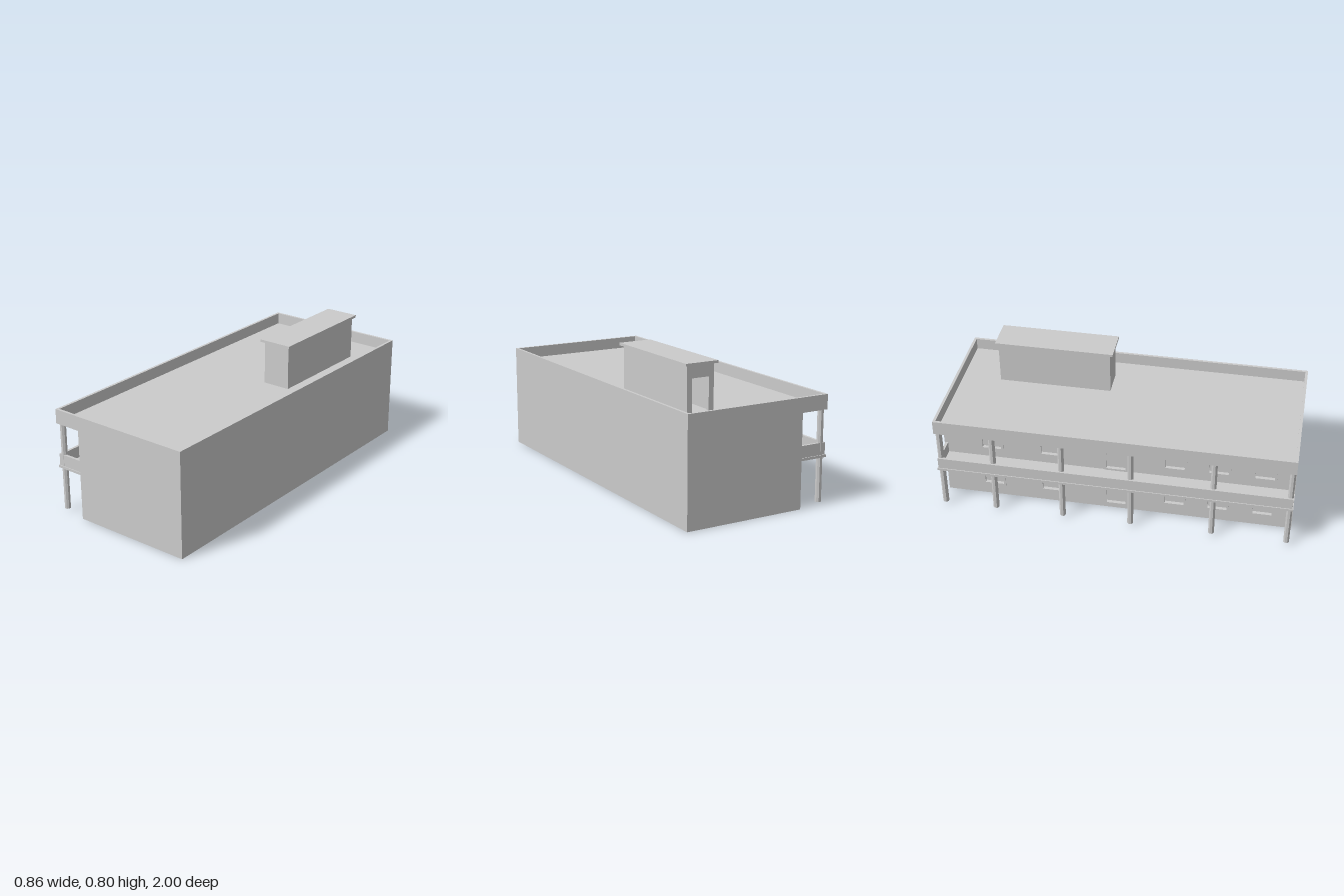
import * as THREE from 'three';

const grey = new THREE.MeshStandardMaterial({ color: 0xcccccc, flatShading: true });

export function createModel() {
  const root = new THREE.Group();

  const add = (name, geometry, parent = root) => {
    const mesh = new THREE.Mesh(geometry, grey);
    mesh.name = name;
    parent.add(mesh);
    return mesh;
  };
  // Box given by its limits along each axis
  const box = (name, x0, x1, y0, y1, z0, z1, parent) => {
    const mesh = add(name, new THREE.BoxGeometry(x1 - x0, y1 - y0, z1 - z0), parent);
    mesh.position.set((x0 + x1) / 2, (y0 + y1) / 2, (z0 + z1) / 2);
    return mesh;
  };
  const rect = (Type, u0, u1, v0, v1) => {
    const path = new Type();
    path.moveTo(u0, v0).lineTo(u1, v0).lineTo(u1, v1).lineTo(u0, v1).closePath();
    return path;
  };
  // Upright panel lying in the z-y plane, its outer face at x = xOut towards -x
  const sidePanel = (name, shape, xOut, thickness, parent) => {
    const geometry = new THREE.ExtrudeGeometry(shape, { depth: thickness, bevelEnabled: false });
    geometry.rotateY(-Math.PI / 2);
    add(name, geometry, parent).position.x = xOut + thickness;
  };
  const group = (name) => {
    const g = new THREE.Group();
    g.name = name;
    root.add(g);
    return g;
  };

  const wallX = -0.27, out = 0.43, t = 0.03;
  const roofY = 0.535, top = 0.602;

  // Main block: floors and the three closed walls
  const body = group('mainBlock');
  box('groundFloor', wallX + t, out - t, 0, 0.018, -1 + t, 1 - t, body);
  box('upperFloor', wallX + t, out - t, 0.262, 0.276, -1 + t, 1 - t, body);
  box('longWall', out - t, out, 0, 0.52, -1, 1, body);
  box('frontWall', wallX, out - t, 0, 0.52, 1 - t, 1, body);
  box('backWall', wallX, out - t, 0, 0.52, -1, -1 + t, body);

  // Openings of the veranda wall as [z0, z1, y0, y1]
  const openings = [[-0.065, 0.055, 0.03, 0.222], [-0.065, 0.055, 0.282, 0.48]];
  for (const z of [-0.72, -0.38, 0.33, 0.575, 0.83]) {
    openings.push([z - 0.06, z + 0.06, 0.075, 0.222], [z - 0.06, z + 0.06, 0.332, 0.48]);
  }
  const wall = rect(THREE.Shape, -1 + t, 1 - t, 0, 0.52);
  for (const o of openings) wall.holes.push(rect(THREE.Path, ...o));
  sidePanel('verandaWall', wall, wallX, t, body);

  // Frames and recessed panes
  const fittings = group('windowsAndDoors');
  for (const [z0, z1, y0, y1] of openings) {
    const e = 0.006;
    const frame = rect(THREE.Shape, z0 - e, z1 + e, y0 - e, y1 + e);
    frame.holes.push(rect(THREE.Path, z0 + e, z1 - e, y0 + e, y1 - e));
    sidePanel('openingFrame', frame, wallX - 0.005, 0.012, fittings);
    box('pane', wallX + 0.022, wallX + 0.026, y0, y1, z0, z1, fittings);
  }

  // Flat roof with parapet
  const roof = group('roof');
  box('roofSlab', -out, out, 0.52, roofY, -1, 1, roof);
  const p = 0.015;
  for (const s of [-1, 1]) {
    const x = s * (out - p / 2), z = s * (1 - p / 2);
    box('sideParapet', x - p / 2, x + p / 2, roofY, top, -1, 1, roof);
    box('endParapet', -out + p, out - p, roofY, top, z - p / 2, z + p / 2, roof);
  }

  // Balcony with solid railing
  const balcony = group('balcony');
  box('balconySlab', -out, wallX, 0.262, 0.276, -1, 1, balcony);
  box('balconyRail', -0.425, -0.41, 0.276, 0.342, -0.995, 0.995, balcony);
  for (const s of [-1, 1]) {
    const z = s * 0.9875;
    box('balconyEndRail', -0.41, wallX, 0.276, 0.342, z - 0.0075, z + 0.0075, balcony);
  }

  // Eight-sided columns carrying balcony and roof
  for (const z of [-0.98, -0.68, -0.29, 0.1, 0.56, 0.98]) {
    const geometry = new THREE.CylinderGeometry(0.0173, 0.0173, 0.502, 8);
    geometry.rotateY(Math.PI / 8);
    add('column', geometry).position.set(-0.401, 0.269, z);
  }

  // Rooftop stair house, open at the back
  const house = group('stairHouse');
  const [hx0, hx1, hz0, hz1, hTop, ht] = [0.122, 0.284, -0.76, -0.11, 0.783, 0.02];
  box('houseLeftWall', hx1 - ht, hx1, roofY, hTop, hz0 + ht, hz1, house);
  box('houseRightWall', hx0, hx0 + ht, roofY, hTop, hz0 + ht, hz1, house);
  box('houseFrontWall', hx0 + ht, hx1 - ht, roofY, hTop, hz1 - ht, hz1, house);
  const doorway = new THREE.Shape();
  doorway.moveTo(hx0, roofY).lineTo(hx0 + 0.03, roofY).lineTo(hx0 + 0.03, 0.715)
    .lineTo(hx1 - 0.03, 0.715).lineTo(hx1 - 0.03, roofY).lineTo(hx1, roofY)
    .lineTo(hx1, hTop).lineTo(hx0, hTop).closePath();
  add('houseDoorway', new THREE.ExtrudeGeometry(doorway, { depth: ht, bevelEnabled: false }), house)
    .position.z = hz0;
  box('houseRoof', 0.105, 0.3, hTop, 0.797, -0.775, -0.092, house);

  return root;
}
